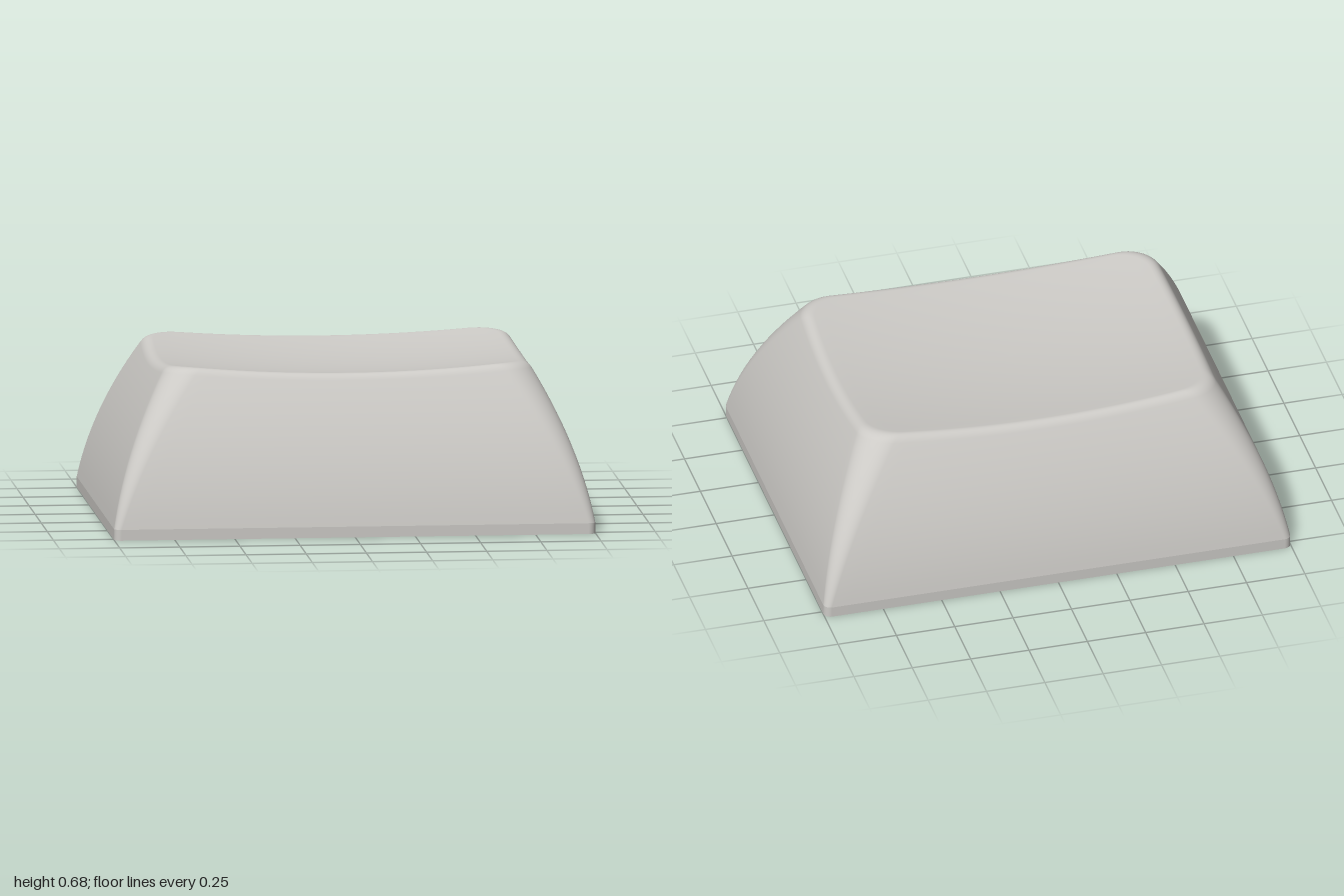
import * as THREE from 'three';

const HX = 1, HZ = 0.795;          // half size of the base
const SKIRT = 0.045;               // height of the upright band at the foot
const ARC = 10, EDGE = 24, SIDE = ARC + EDGE, COUNT = SIDE * 4;
const ROOF = 0.45;                 // height of the cavity ceiling

// Concave top surface
const dish = (x, z) => 0.608 + 0.078 * x * x + 0.15 * z * z;

// Point i on the rounded-rectangle outline of the wall at height y
function outline(i, y) {
  const t = Math.max(0, (y - SKIRT) / 0.635);
  const inset = 0.11 * t + 0.14 * t * t;
  const r = 0.03 + 0.1 * t;
  const hx = HX - inset - r, hz = HZ - inset - r;
  const corner = (k, f) => {
    const a = (k + f) * Math.PI / 2;
    const sx = k % 4 === 0 || k % 4 === 3 ? 1 : -1;
    const sz = k % 4 < 2 ? 1 : -1;
    return new THREE.Vector3(sx * hx + r * Math.cos(a), y, sz * hz + r * Math.sin(a));
  };
  const k = Math.floor(i / SIDE), j = i % SIDE;
  if (j <= ARC) return corner(k, j / ARC);
  return corner(k, 1).lerp(corner((k + 1) % 4, 0), (j - ARC) / EDGE);
}

// Smooth surface through closed rows of points
function loft(rows) {
  const index = [];
  for (let r = 0; r < rows.length - 1; r++) {
    for (let i = 0; i < COUNT; i++) {
      const n = (i + 1) % COUNT;
      const a = r * COUNT + i, b = r * COUNT + n;
      const c = a + COUNT, d = b + COUNT;
      index.push(a, c, b, b, c, d);
    }
  }
  const g = new THREE.BufferGeometry().setFromPoints(rows.flat());
  g.setIndex(index);
  g.computeVertexNormals();
  return g;
}

const ring = (fn) => Array.from({ length: COUNT }, (_, i) => fn(i));

// Curved walls, softened rim and dished top in one skin
function shellGeometry() {
  const onDish = (p, s) => new THREE.Vector3(p.x * s, dish(p.x * s, p.z * s), p.z * s);
  const rim = ring((i) => {
    let y = 0.65;
    for (let n = 0; n < 10; n++) {
      const p = outline(i, y);
      y = dish(p.x, p.z);
    }
    return outline(i, y);
  });
  const rows = [];
  for (let s = 0; s <= 14; s++) {
    rows.push(ring((i) => outline(i, SKIRT + (rim[i].y - 0.03 - SKIRT) * s / 14)));
  }
  for (let s = 1; s <= 6; s++) {
    rows.push(ring((i) => new THREE.QuadraticBezierCurve3(
      outline(i, rim[i].y - 0.03), rim[i], onDish(rim[i], 0.955)).getPoint(s / 6)));
  }
  for (let s = 1; s <= 16; s++) {
    rows.push(ring((i) => onDish(rim[i], 0.955 * (1 - s / 16))));
  }
  return loft(rows);
}

// Flat underside rim between the outer outline and the cavity mouth
function footGeometry(mx, mz) {
  const shape = new THREE.Shape(ring((i) => {
    const p = outline(i, 0);
    return new THREE.Vector2(p.x, p.z);
  }));
  shape.holes.push(new THREE.Path([[-mx, -mz], [-mx, mz], [mx, mz], [mx, -mz]]
    .map(([x, z]) => new THREE.Vector2(x, z))));
  return new THREE.ShapeGeometry(shape).rotateX(Math.PI / 2);
}

// Tapered box seen from inside, open at the bottom
function cavityGeometry(mx, mz, taper) {
  const g = new THREE.BoxGeometry(2 * mx, ROOF, 2 * mz).translate(0, ROOF / 2, 0);
  const p = g.attributes.position;
  for (let i = 0; i < p.count; i++) {
    if (p.getY(i) > 0.1) {
      p.setX(i, p.getX(i) - Math.sign(p.getX(i)) * taper);
      p.setZ(i, p.getZ(i) - Math.sign(p.getZ(i)) * taper);
    }
  }
  const faces = Array.from(g.index.array);
  faces.splice(18, 6);
  g.setIndex(faces.reverse());
  g.clearGroups();
  g.computeVertexNormals();
  return g;
}

// Round post with a plus-shaped socket
function stemGeometry() {
  const shape = new THREE.Shape().absarc(0, 0, 0.241, 0, Math.PI * 2, false);
  const l = 0.175, w = 0.053;
  shape.holes.push(new THREE.Path([
    [l, -w], [l, w], [w, w], [w, l], [-w, l], [-w, w],
    [-l, w], [-l, -w], [-w, -w], [-w, -l], [w, -l], [w, -w],
  ].reverse().map(([x, y]) => new THREE.Vector2(x, y))));
  return new THREE.ExtrudeGeometry(shape, { depth: ROOF, bevelEnabled: false, curveSegments: 32 })
    .rotateX(-Math.PI / 2);
}

export function createModel() {
  const group = new THREE.Group();
  group.name = 'keycap';
  const plastic = new THREE.MeshStandardMaterial({ color: 0xcccac6 });
  plastic.name = 'light grey plastic';
  const add = (name, geometry) => {
    const mesh = new THREE.Mesh(geometry, plastic);
    mesh.name = name;
    group.add(mesh);
  };
  const mx = 0.92, mz = 0.715;
  add('shell', shellGeometry());
  add('skirt', loft([0, SKIRT].map((y) => ring((i) => outline(i, y)))));
  add('footRim', footGeometry(mx, mz));
  add('cavity', cavityGeometry(mx, mz, 0.138));
  add('stem', stemGeometry());
  return group;
}
